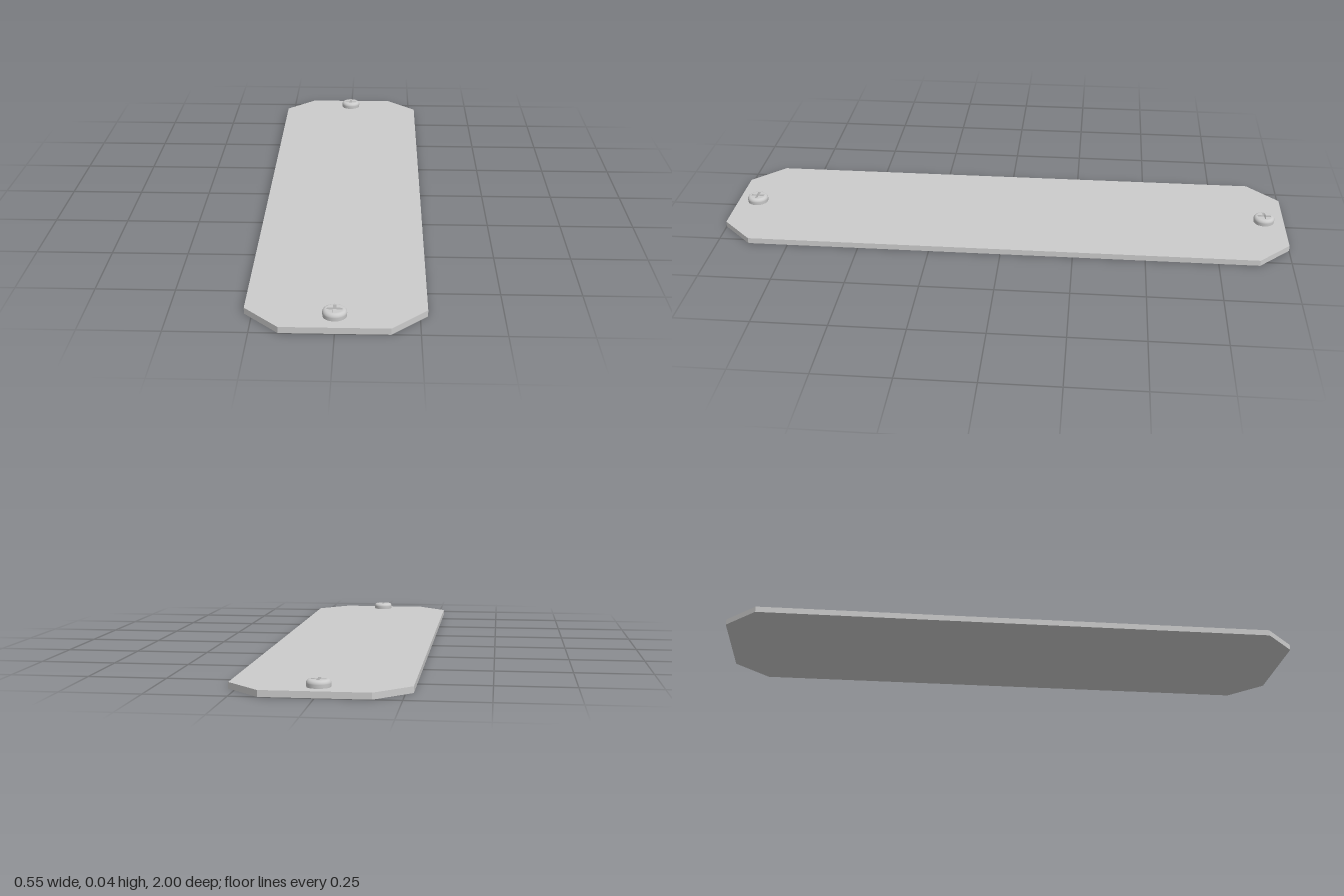
import * as THREE from 'three';

const material = new THREE.MeshStandardMaterial({ color: 0xcccccc });

function part(name, geometry) {
  const mesh = new THREE.Mesh(geometry, material);
  mesh.name = name;
  return mesh;
}

// Extrudes a flat shape upwards from height y
function slab(shape, y, height) {
  return new THREE.ExtrudeGeometry(shape, { depth: height, bevelEnabled: false, curveSegments: 32 })
    .rotateX(-Math.PI / 2)
    .translate(0, y, 0);
}

const THICKNESS = 0.02, TOP = 0.043;

function createScrew() {
  const screw = new THREE.Group();
  const capRadius = 0.026, headRadius = 0.037, shoulder = 0.031;

  // Rounded rim: short straight wall, then a quarter ellipse up to the cap
  const profile = [new THREE.Vector2(headRadius - 0.001, THICKNESS)];
  for (let i = 0; i <= 8; i++) {
    const a = (i / 8) * Math.PI / 2;
    profile.push(new THREE.Vector2(
      capRadius + (headRadius - capRadius) * Math.cos(a),
      shoulder + (TOP - shoulder) * Math.sin(a)));
  }
  screw.add(part('screwHeadRim', new THREE.LatheGeometry(profile, 32)));

  // Flat cap pierced by the cross slot
  const cap = new THREE.Shape().absarc(0, 0, capRadius, 0, Math.PI * 2, false);
  const arm = 0.023, w = 0.005;
  const corners = [];
  for (let i = 0; i < 4; i++) {
    for (const [x, y] of [[arm, -w], [arm, w], [w, w]]) {
      corners.push(new THREE.Vector2(x, y).rotateAround(new THREE.Vector2(), i * Math.PI / 2));
    }
  }
  cap.holes.push(new THREE.Path(corners.reverse()));
  screw.add(part('screwHeadCap', slab(cap, 0.028, TOP - 0.028)));

  // Floor of the cross slot
  const floor = new THREE.CircleGeometry(capRadius, 32).rotateX(-Math.PI / 2).translate(0, 0.029, 0);
  screw.add(part('slotFloor', floor));
  return screw;
}

export function createModel() {
  const model = new THREE.Group();
  model.name = 'coverPlate';

  // Long plate with chamfered corners
  const hw = 0.273, hl = 1, cx = 0.164, cz = 0.89;
  const outline = [[hw, -cz], [hw, cz], [cx, hl], [-cx, hl], [-hw, cz], [-hw, -cz], [-cx, -hl], [cx, -hl]]
    .map(([x, y]) => new THREE.Vector2(x, y));
  model.add(part('plate', slab(new THREE.Shape(outline), 0, THICKNESS)));

  // One screw at each end
  for (const side of [1, -1]) {
    const screw = createScrew();
    screw.name = side > 0 ? 'frontScrew' : 'backScrew';
    screw.position.set(-0.002, 0, side * 0.928);
    model.add(screw);
  }
  return model;
}
